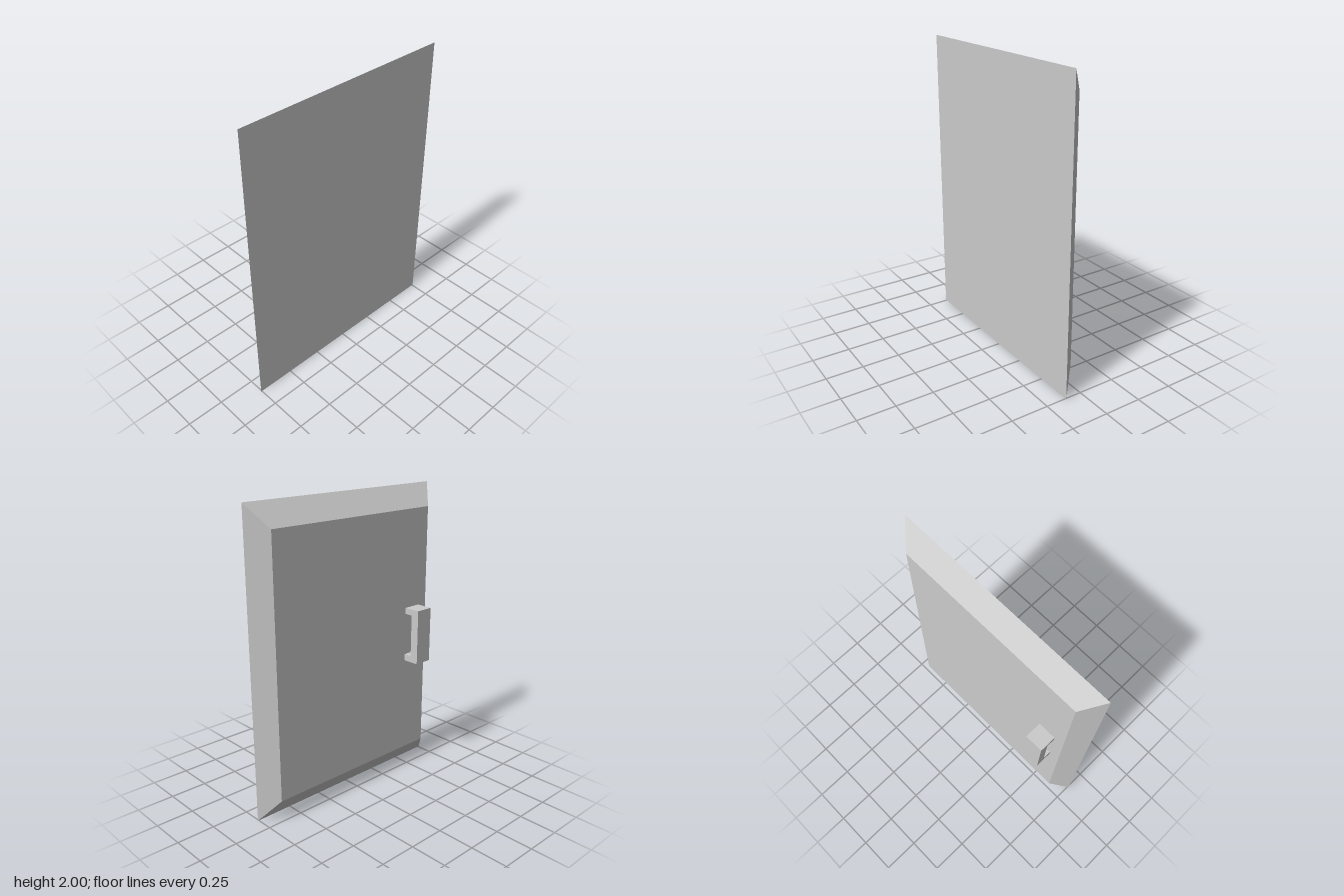
import * as THREE from 'three';

export function createModel() {
  const group = new THREE.Group();
  const material = new THREE.MeshStandardMaterial({ color: 0xcccccc, flatShading: true });

  // Door slab: a box whose -x face is drawn in to form bevelled edges
  const thickness = 0.113, height = 2, depth = 1.514, bevelY = 0.145, bevelZ = 0.109;
  const slab = new THREE.BoxGeometry(thickness, height, depth);
  const p = slab.attributes.position;
  for (let i = 0; i < p.count; i++) {
    if (p.getX(i) < 0) {
      p.setY(i, p.getY(i) - Math.sign(p.getY(i)) * bevelY);
      p.setZ(i, p.getZ(i) - Math.sign(p.getZ(i)) * bevelZ);
    }
  }
  slab.translate(thickness / 2, height / 2, 0);
  slab.computeVertexNormals();
  const door = new THREE.Mesh(slab, material);
  door.name = 'doorPanel';
  group.add(door);

  // Handle: a square C-shaped grip extruded along z
  const outline = new THREE.Shape([
    [0, 0.813], [0, 0.857], [-0.057, 0.857], [-0.057, 1.148],
    [0, 1.148], [0, 1.19], [-0.115, 1.19], [-0.115, 0.813],
  ].map(([x, y]) => new THREE.Vector2(x, y)));
  const grip = new THREE.ExtrudeGeometry(outline, { depth: 0.125, bevelEnabled: false });
  const handle = new THREE.Mesh(grip, material);
  handle.name = 'handle';
  handle.position.z = 0.452;
  group.add(handle);

  return group;
}
